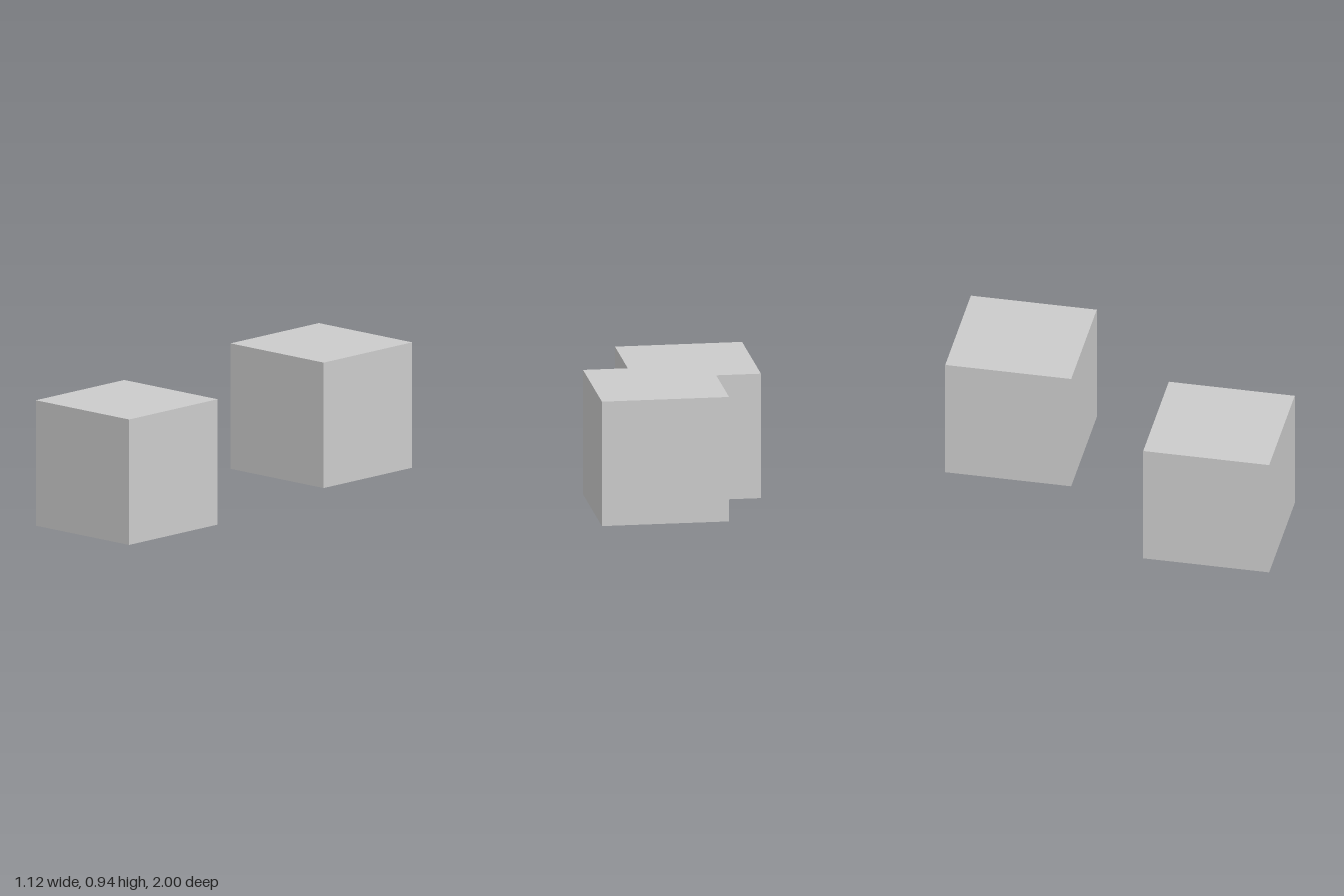
import * as THREE from 'three';

const SIZE = 0.748;

export function createModel() {
  const group = new THREE.Group();
  const material = new THREE.MeshStandardMaterial({ color: 0xcccccc, flatShading: true });
  const cube = new THREE.BoxGeometry(SIZE, SIZE, SIZE);

  // Two equal cubes set diagonally apart, the back one raised: name, x, base height, z
  const cubes = [
    ['frontCube', -0.187, 0, 1 - SIZE / 2],
    ['backCube', 0.187, 0.194, SIZE / 2 - 1],
  ];
  for (const [name, x, base, z] of cubes) {
    const mesh = new THREE.Mesh(cube, material);
    mesh.name = name;
    mesh.position.set(x, base + SIZE / 2, z);
    group.add(mesh);
  }
  return group;
}
